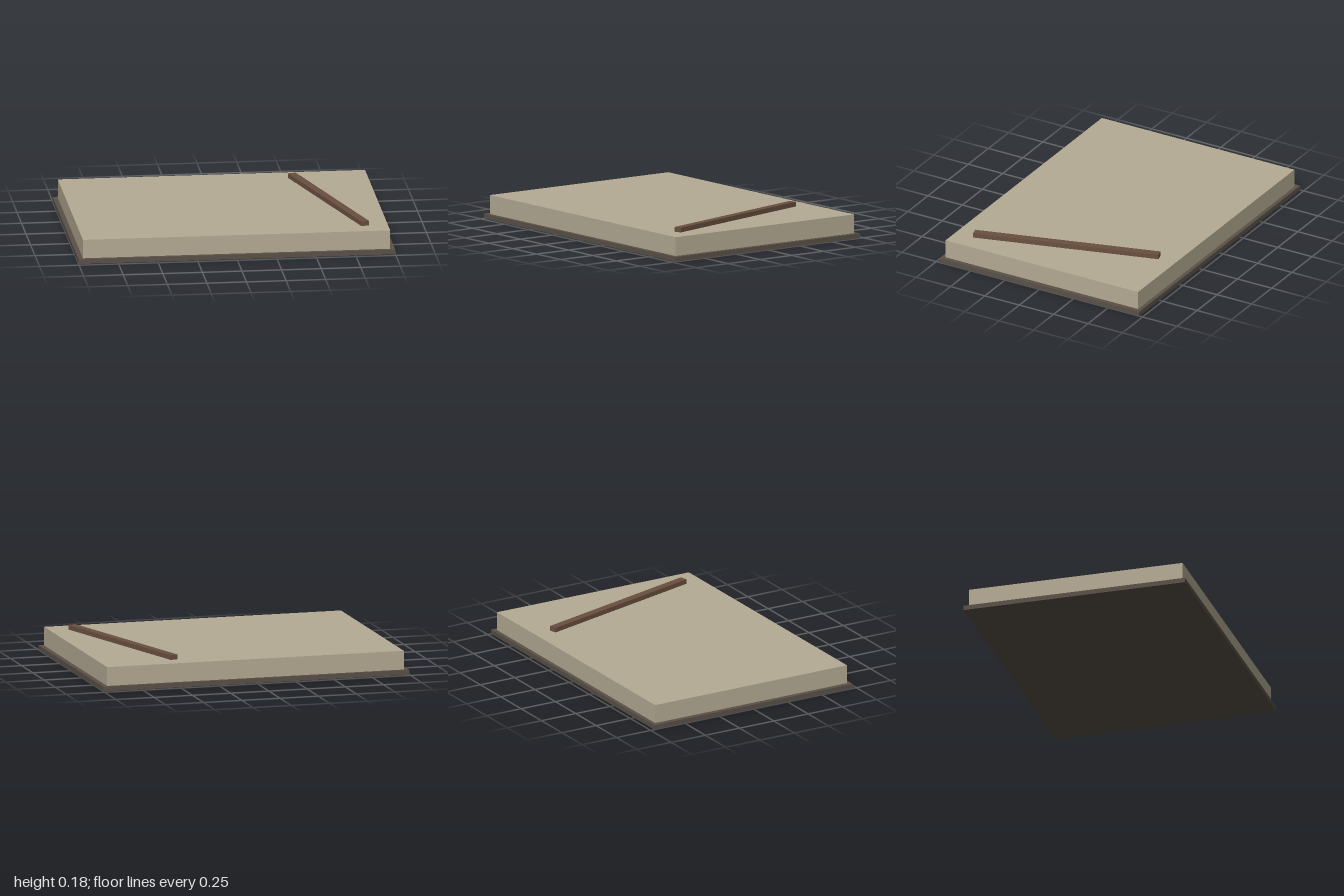
import * as THREE from 'three';

// Named box whose underside sits at height y
function slab(name, [w, h, d], y, color) {
  const mesh = new THREE.Mesh(
    new THREE.BoxGeometry(w, h, d),
    new THREE.MeshStandardMaterial({ color })
  );
  mesh.name = name;
  mesh.position.y = y + h / 2;
  return mesh;
}

export function createModel() {
  const model = new THREE.Group();
  model.name = 'slabWithStick';

  // Dark base plate, slightly wider than the block on it
  const basePlate = slab('basePlate', [2, 0.03, 1.45], 0, 0x5a5148);

  // Pale main block
  const block = slab('block', [1.94, 0.12, 1.4], 0.03, 0xb5ab94);

  // Thin brown stick lying at a slant across the top
  const stick = slab('stick', [0.05, 0.03, 1.2], 0.15, 0x6a5040);
  stick.position.x = 0.66;
  stick.rotation.y = 0.28;

  model.add(basePlate, block, stick);
  return model;
}
